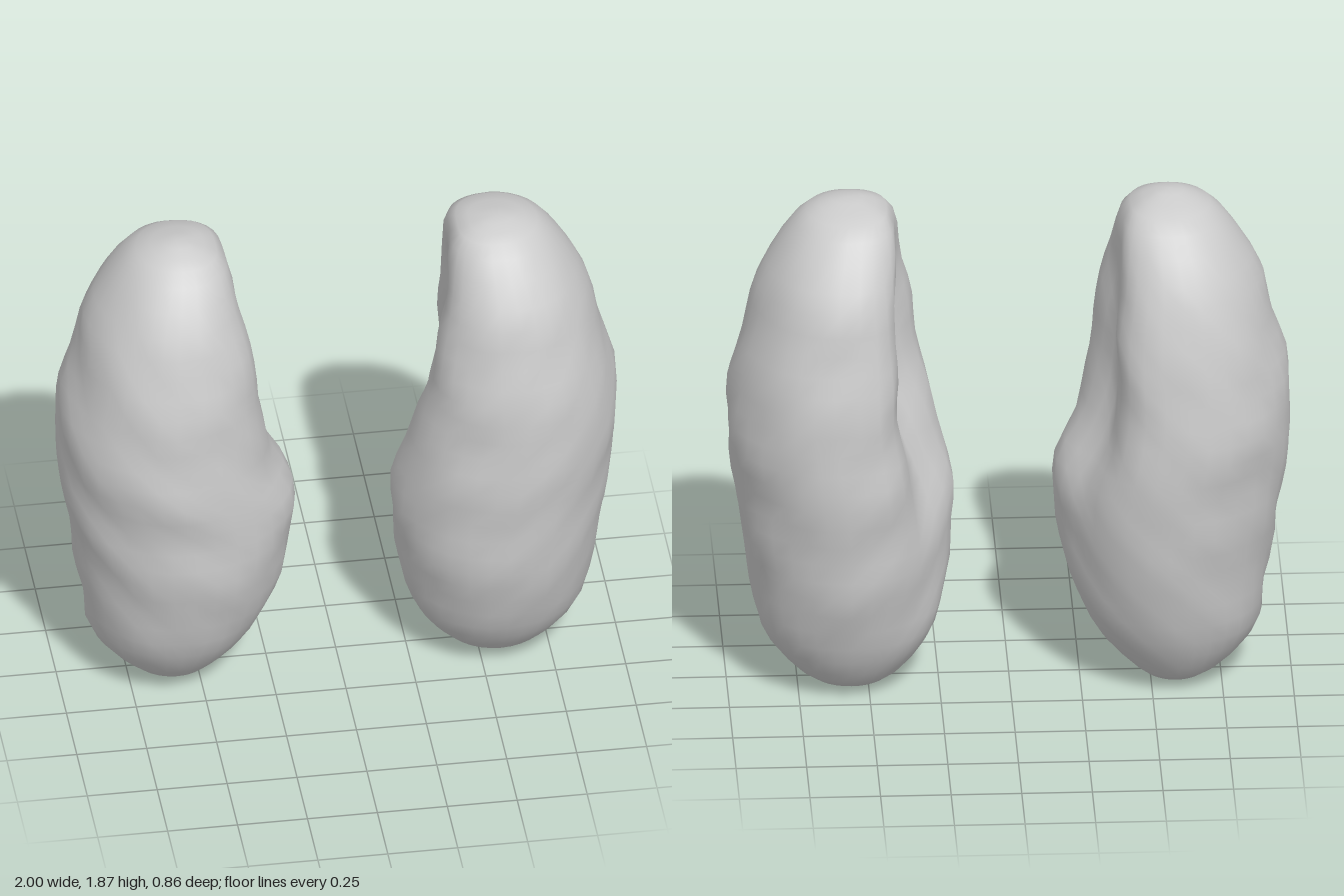
import * as THREE from 'three';

const SEG = 32, RINGS = 30;

// Each row: height, medial x, outer x, back z, front z
const leftRows = [
  [0.005, 0.50, 0.62, -0.08, 0.04], [0.05, 0.39, 0.74, -0.19, 0.16], [0.2, 0.27, 0.87, -0.29, 0.28],
  [0.4, 0.22, 0.92, -0.36, 0.36], [0.6, 0.19, 0.95, -0.395, 0.4], [0.8, 0.19, 0.98, -0.42, 0.415],
  [1.0, 0.23, 1.0, -0.43, 0.425], [1.2, 0.275, 0.99, -0.415, 0.415], [1.4, 0.305, 0.935, -0.38, 0.385],
  [1.6, 0.345, 0.88, -0.325, 0.33], [1.8, 0.40, 0.75, -0.19, 0.2], [1.855, 0.51, 0.63, -0.02, 0.08],
];
const rightRows = [
  [0.005, 0.52, 0.62, -0.08, 0.04], [0.05, 0.44, 0.74, -0.19, 0.16], [0.2, 0.30, 0.88, -0.29, 0.28],
  [0.4, 0.21, 0.915, -0.36, 0.36], [0.6, 0.165, 0.95, -0.395, 0.4], [0.8, 0.15, 0.98, -0.42, 0.415],
  [1.0, 0.225, 1.0, -0.43, 0.425], [1.2, 0.265, 0.99, -0.415, 0.415], [1.4, 0.285, 0.94, -0.38, 0.385],
  [1.6, 0.335, 0.88, -0.325, 0.33], [1.8, 0.40, 0.75, -0.19, 0.2], [1.865, 0.52, 0.62, -0.02, 0.08],
];

const bell = (x, centre, width) => Math.exp(-(((x - centre) / width) ** 2));

// Closed lumpy body lofted from rings; side is +1 or -1
function lobe(name, rows, side, grooveAngle, grooveDepth) {
  const curve = (a, b) => new THREE.CatmullRomCurve3(
    rows.map((r) => new THREE.Vector3(r[a], r[0], r[b])), false, 'catmullrom', 0.5);
  const across = curve(1, 2), deep = curve(3, 4);
  const pos = [], idx = [];
  for (let i = 0; i <= RINGS; i++) {
    const p = across.getPoint(i / RINGS), q = deep.getPoint(i / RINGS), y = p.y;
    const cx = (p.x + p.z) / 2, rx = (p.z - p.x) / 2;
    const cz = (q.x + q.z) / 2, rz = (q.z - q.x) / 2;
    const body = Math.min(1, y / 0.35, (1.87 - y) / 0.3);
    for (let j = 0; j < SEG; j++) {
      const a = (j / SEG) * Math.PI * 2, c = Math.cos(a), s = Math.sin(a);
      // Medial face is slightly flatter towards the top
      const e = c < 0 ? 1 - 0.18 * THREE.MathUtils.smoothstep(y, 0.7, 1.4) : 1;
      const ux = Math.sign(c) * Math.abs(c) ** e, uz = Math.sign(s) * Math.abs(s) ** e;
      // Soft slanting ridges and smaller bumps
      const lumps = 0.01 * Math.sin(17 * y + 5 * Math.abs(s) + side)
        + 0.012 * Math.sin(5 * a + 7 * y) * Math.sin(11 * y - 2 * a)
        + 0.01 * Math.sin(8 * a + side) * Math.sin(23 * y + a);
      // Hollow running down the medial face, drifting to the back
      const centre = grooveAngle + 0.4 * (1 - y);
      const groove = grooveDepth * bell(a, centre, 0.42) * bell(y, 1.2, 0.55);
      const k = 1 + (lumps - 0.004 - groove / rx) * body;
      pos.push(side * (cx + rx * ux * k), y, cz + rz * uz * k);
    }
  }
  const quad = (a, b, c) => (side > 0 ? idx.push(a, c, b) : idx.push(a, b, c));
  for (let i = 0; i < RINGS; i++) for (let j = 0; j < SEG; j++) {
    const a = i * SEG + j, b = i * SEG + ((j + 1) % SEG);
    quad(a, b, a + SEG);
    quad(b, b + SEG, a + SEG);
  }
  // Rounded end caps
  for (const [ring, dy] of [[0, -0.005], [RINGS, 0.005]]) {
    const r = rows[ring ? rows.length - 1 : 0], tip = pos.length / 3;
    pos.push(side * (r[1] + r[2]) / 2, r[0] + dy, (r[3] + r[4]) / 2);
    for (let j = 0; j < SEG; j++) {
      const a = ring * SEG + j, b = ring * SEG + ((j + 1) % SEG);
      if (ring) quad(a, b, tip); else quad(b, a, tip);
    }
  }
  const geo = new THREE.BufferGeometry();
  geo.setAttribute('position', new THREE.Float32BufferAttribute(pos, 3));
  geo.setIndex(idx);
  geo.computeVertexNormals();
  const mesh = new THREE.Mesh(geo, new THREE.MeshStandardMaterial({ color: 0xcccccc }));
  mesh.name = name;
  return mesh;
}

export function createModel() {
  const group = new THREE.Group();
  group.name = 'pairedLobes';
  group.add(lobe('leftLobe', leftRows, 1, Math.PI + 0.42, 0.16));
  group.add(lobe('rightLobe', rightRows, -1, Math.PI + 0.42, 0.1));
  return group;
}
